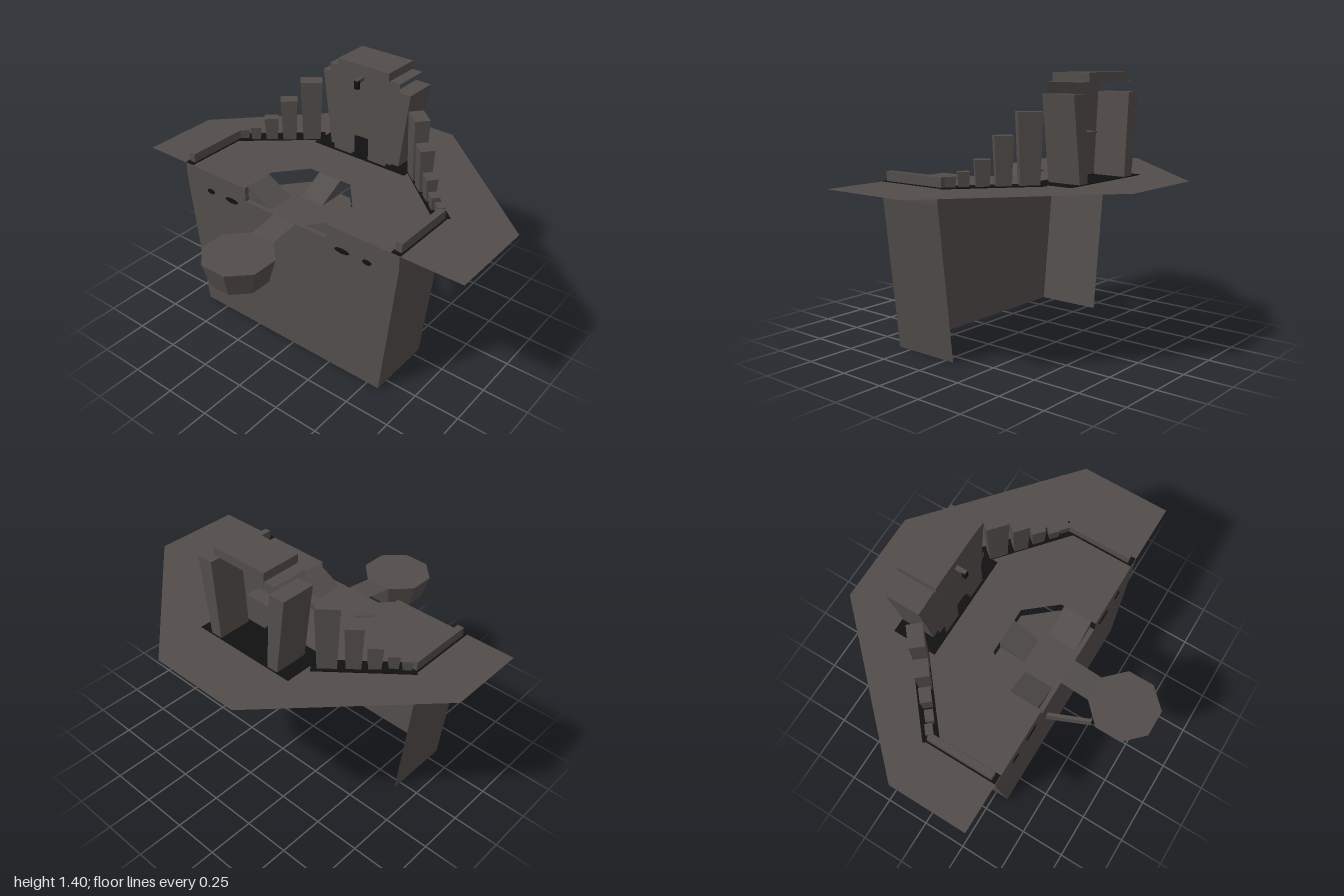
import * as THREE from 'three';

const CX = -0.035; // axis of symmetry for everything standing on the deck
const DECK = 0.87, FLOOR = 0.79, FRONT = 0.325;

export function createModel() {
  const root = new THREE.Group();
  const stone = new THREE.MeshStandardMaterial({ color: 0x524d4a, side: THREE.DoubleSide });
  stone.name = 'stone';
  const black = new THREE.MeshStandardMaterial({ color: 0x121111, side: THREE.DoubleSide });
  black.name = 'black';

  const add = (name, geo, mat = stone, parent = root) => {
    const m = new THREE.Mesh(geo, mat);
    m.name = name;
    parent.add(m);
    return m;
  };
  const box = (name, w, h, d, x, y, z, mat = stone, parent = root) => {
    const m = add(name, new THREE.BoxGeometry(w, h, d), mat, parent);
    m.position.set(x, y, z);
    return m;
  };
  const shape = pts => new THREE.Shape(pts.map(p => new THREE.Vector2(p[0], p[1])));
  // flat sheet in the ground plane from [x, z] points
  const sheet = (name, pts, y, mat = stone) => {
    const g = new THREE.ShapeGeometry(shape(pts.map(([x, z]) => [x, -z])));
    add(name, g.rotateX(-Math.PI / 2).translate(0, y, 0), mat);
  };
  // upright sheet facing +z from [x, y] points
  const panel = (name, pts, z, mat = stone) =>
    add(name, new THREE.ShapeGeometry(shape(pts)).translate(0, 0, z), mat);
  const quad = (name, a, b, c, d, mat = stone) => {
    const g = new THREE.BufferGeometry();
    g.setAttribute('position', new THREE.Float32BufferAttribute([a, b, c, a, c, d].flat(), 3));
    g.computeVertexNormals();
    return add(name, g, mat);
  };
  // box standing on y = 0 whose base is scaled by k
  const flared = (w, h, d, kx, kz = kx) => {
    const g = new THREE.BoxGeometry(w, h, d).translate(0, h / 2, 0).toNonIndexed();
    const p = g.attributes.position;
    for (let i = 0; i < p.count; i++)
      if (p.getY(i) < h / 2) p.setXYZ(i, p.getX(i) * kx, p.getY(i), p.getZ(i) * kz);
    g.computeVertexNormals();
    return g;
  };

  // deck with a faceted opening cut in from its front edge
  const opening = [[-0.30, FRONT], [-0.30, 0.12], [-0.165, -0.04], [0.10, -0.04], [0.235, 0.12], [0.235, FRONT]];
  sheet('deck', [[-1, FRONT], ...opening, [1, FRONT], [1, -0.17], [0.22, -0.84], [-0.29, -0.84], [-1, -0.11]], DECK);
  sheet('sunkenFloor', opening, FLOOR);

  // supporting wall, open at the back and below
  panel('frontWall', [[-0.64, 0], [0.57, 0], [0.66, FLOOR], [0.66, DECK], [0.235, DECK], [0.235, FLOOR],
    [-0.30, FLOOR], [-0.30, DECK], [-0.73, DECK], [-0.73, FLOOR]], FRONT);
  for (const [top, bottom] of [[-0.73, -0.64], [0.66, 0.57]]) {
    quad('sideWall', [bottom, 0, FRONT], [bottom, 0, -0.05], [top, FLOOR, -0.05], [top, FLOOR, FRONT]);
    quad('sideWallBand', [top, FLOOR, FRONT], [top, FLOOR, -0.05], [top, DECK, -0.05], [top, DECK, FRONT]);
  }

  // wedge ramps from the deck to the sunken floor
  const wedge = len => new THREE.ExtrudeGeometry(shape([[0, 0], [0.15, 0], [0, DECK - FLOOR]]),
    { depth: len, bevelEnabled: false });
  add('rightRamp', wedge(0.16)).position.set(-0.30, FLOOR, 0.14);
  const leftRamp = add('leftRamp', wedge(0.16));
  leftRamp.rotation.y = Math.PI;
  leftRamp.position.set(0.235, FLOOR, 0.30);
  const backRamp = add('backRamp', wedge(0.14));
  backRamp.rotation.y = -Math.PI / 2;
  backRamp.position.set(CX + 0.07, FLOOR, -0.04);

  // hanging eight-sided pod with its bridge and side strut
  add('pod', new THREE.CylinderGeometry(0.188, 0.15, 0.135, 8, 1, false, Math.PI / 8).toNonIndexed())
    .position.set(CX, 0.6975, 0.66);
  root.children.at(-1).geometry.computeVertexNormals();
  quad('bridge', [CX - 0.07, 0.763, 0.5], [CX + 0.07, 0.763, 0.5], [CX + 0.07, FLOOR, FRONT], [CX - 0.07, FLOOR, FRONT]);
  for (const [dx, mat] of [[-0.01, stone], [0.01, black]])
    quad('strut', [-0.232 + dx, 0.515, FRONT], [-0.165 + dx, 0.63, 0.56], [-0.165 + dx, 0.675, 0.55], [-0.232 + dx, 0.585, FRONT], mat);
  quad('strutTop', [-0.242, 0.585, FRONT], [-0.222, 0.585, FRONT], [-0.155, 0.675, 0.55], [-0.175, 0.675, 0.55]);
  quad('strutBottom', [-0.242, 0.515, FRONT], [-0.222, 0.515, FRONT], [-0.155, 0.63, 0.56], [-0.175, 0.63, 0.56], black);

  // small dark ports along the top of the wall
  for (const [x, w] of [[-0.55, 0.027], [-0.40, 0.045], [0.33, 0.045], [0.48, 0.027]]) {
    const port = add('port', new THREE.CylinderGeometry(1, 1, 0.006, 8).rotateX(Math.PI / 2), black);
    port.scale.set(w, 0.014, 1);
    port.position.set(x, 0.757, FRONT + 0.002);
  }

  // dark footing under the tower
  box('towerFooting', 0.6, 0.004, 0.245, CX, DECK + 0.003, -0.4075, black);

  // stepped pillars and railing, mirrored about the axis: [offset, z, width, depth, top]
  const pillars = [
    [0.352, -0.32, 0.12, 0.08, 1.22], [0.447, -0.24, 0.092, 0.075, 1.11], [0.525, -0.178, 0.078, 0.06, 1.0],
    [0.59, -0.118, 0.06, 0.045, 0.945], [0.645, -0.085, 0.055, 0.04, 0.925],
  ];
  for (const s of [-1, 1]) {
    const turn = -s * 0.7;
    for (const [off, z, w, d, top] of pillars) {
      const m = add('pillar', flared(w, top - DECK, d, 0.8));
      m.position.set(CX + s * off, DECK, z);
      m.rotation.y = turn;
    }
    box('pillarFooting', 0.5, 0.004, 0.085, CX + s * 0.49, DECK + 0.002, -0.215, black).rotation.y = turn;
    box('railing', 0.036, 0.05, 0.37, CX + s * 0.672, DECK + 0.027, 0.115);
    box('railingFooting', 0.052, 0.004, 0.4, CX + s * 0.672, DECK + 0.002, 0.122, black);
  }

  // tower: layered flared panels with a doorway through all of them
  const layer = (name, top, bottom, yTop, z) => panel(name, [
    [CX - bottom, DECK], [CX - 0.055, DECK], [CX - 0.055, 1.0], [CX + 0.055, 1.0], [CX + 0.055, DECK],
    [CX + bottom, DECK], [CX + top, yTop], [CX - top, yTop]], z);
  layer('middlePanel', 0.225, 0.19, 1.355, -0.325);
  layer('centrePanel', 0.163, 0.135, 1.4, -0.312);
  panel('doorSurround', [
    [CX - 0.172, DECK], [CX - 0.055, DECK], [CX - 0.055, 1.0], [CX + 0.055, 1.0], [CX + 0.055, DECK],
    [CX + 0.172, DECK], [CX + 0.172, 1.08], [CX + 0.205, 1.12], [CX + 0.205, 1.16], [CX + 0.15, 1.16],
    [CX + 0.13, 1.1], [CX - 0.13, 1.1], [CX - 0.15, 1.16], [CX - 0.205, 1.16], [CX - 0.205, 1.12], [CX - 0.172, 1.08]], -0.298);
  box('roof', 0.326, 0.045, 0.216, CX, 1.3775, -0.42);
  for (const s of [-1, 1]) {
    // outer side columns lean outwards
    const x = (t, b, y) => CX + s * (b + (t - b) * (y - DECK) / 0.43);
    const y0 = DECK, y1 = 1.3, zf = -0.34, zb = -0.525;
    const o0 = x(0.28, 0.225, y0), o1 = x(0.28, 0.225, y1), i0 = CX + s * 0.16, i1 = CX + s * 0.19;
    quad('columnFront', [i0, y0, zf], [o0, y0, zf], [o1, y1, zf], [i1, y1, zf]);
    quad('columnBack', [i0, y0, zb], [o0, y0, zb], [o1, y1, zb], [i1, y1, zb]);
    quad('columnOuter', [o0, y0, zf], [o0, y0, zb], [o1, y1, zb], [o1, y1, zf]);
    quad('columnInner', [i0, y0, zf], [i0, y0, zb], [i1, y1, zb], [i1, y1, zf]);
    quad('columnTop', [i1, y1, zf], [o1, y1, zf], [o1, y1, zb], [i1, y1, zb]);
    quad('roofShelf', [CX + s * 0.163, 1.355, -0.325], [CX + s * 0.225, 1.355, -0.325],
      [CX + s * 0.225, 1.355, -0.525], [CX + s * 0.163, 1.355, -0.525]);
  }

  // rear canopy over the doorway
  box('rearCanopy', 0.18, 0.01, 0.08, CX, 1.1, -0.365);

  // lamp on the tower front
  box('lampArm', 0.02, 0.02, 0.055, CX, 1.33, -0.285);
  box('lamp', 0.024, 0.045, 0.02, CX, 1.31, -0.265, black);

  return root;
}
